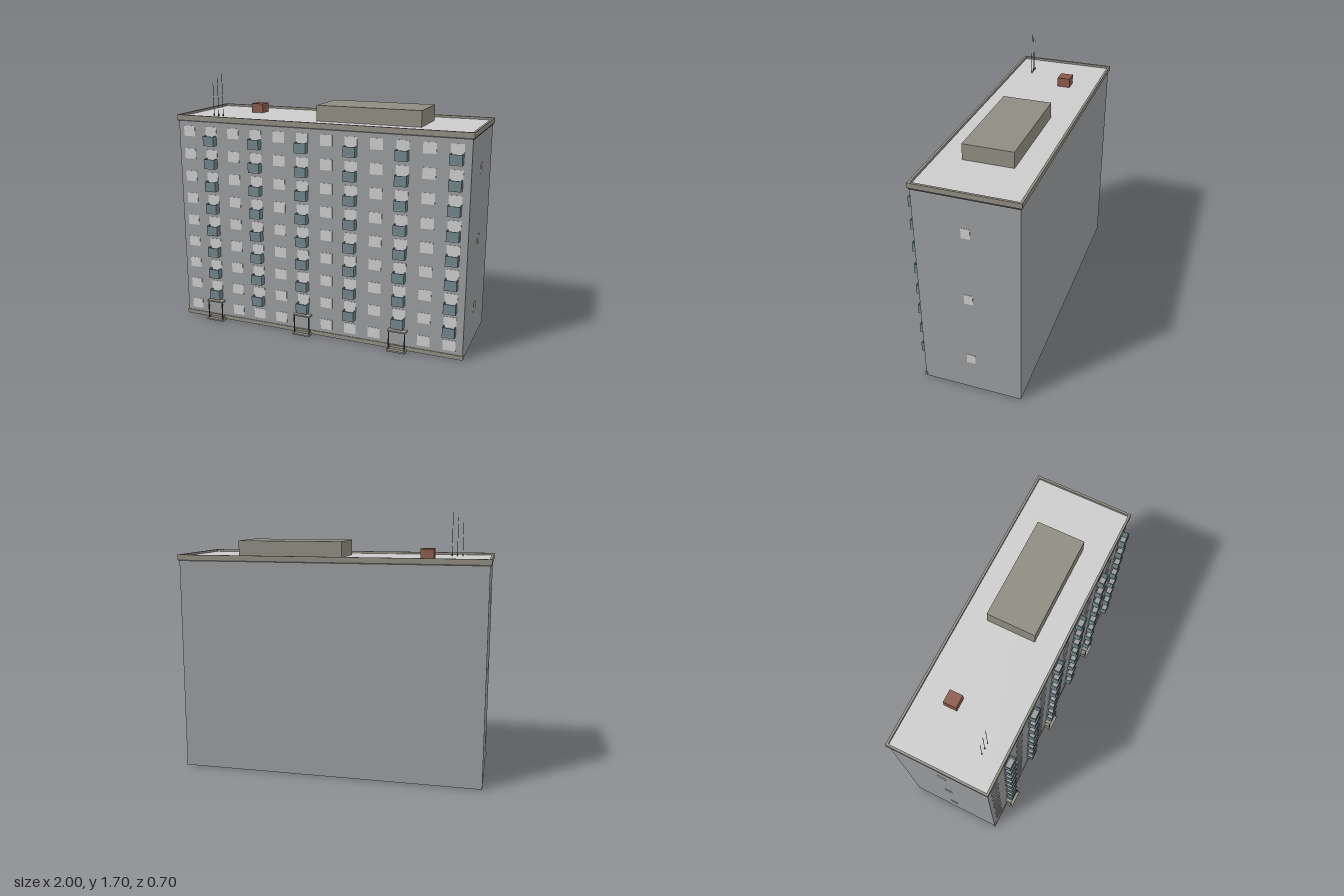
import * as THREE from 'three';

const paint = (color) => new THREE.MeshStandardMaterial({ color });

export function createModel() {
  const model = new THREE.Group();
  const grey = paint(0xcccccc);
  const wall = paint(0x9a9b9d);
  const trim = paint(0x8f8c82);
  const dark = paint(0x4a4a4a);
  const slate = paint(0x70858a);
  const brick = paint(0x8a5a4a);

  // Box given by its limits on each axis
  function box(name, parent, material, [x0, x1], [y0, y1], [z0, z1]) {
    const mesh = new THREE.Mesh(new THREE.BoxGeometry(x1 - x0, y1 - y0, z1 - z0), material);
    mesh.position.set((x0 + x1) / 2, (y0 + y1) / 2, (z0 + z1) / 2);
    mesh.name = name;
    parent.add(mesh);
    return mesh;
  }
  function group(name, parent = model) {
    const g = new THREE.Group();
    g.name = name;
    parent.add(g);
    return g;
  }

  const front = 0.297, back = -0.34, half = 0.99;
  const columnX = (i) => -0.912 + i * 0.165;
  const floorStep = 0.1545;

  // Main block and plinth
  box('walls', model, wall, [-half, half], [0, 1.4], [back, front]);
  box('plinth', model, trim, [-0.995, 0.995], [0.008, 0.03], [front - 0.01, front + 0.005]);

  // Roof: dark shadow band, slab and raised rim
  const roof = group('roof');
  box('corniceBand', roof, dark, [-0.995, 0.995], [1.388, 1.4], [-0.345, 0.302]);
  box('roofSlab', roof, grey, [-0.985, 0.985], [1.4, 1.415], [-0.335, 0.292]);
  for (const [z0, z1] of [[-0.35, -0.335], [0.292, 0.307]])
    box('parapetLong', roof, trim, [-1, 1], [1.398, 1.43], [z0, z1]);
  for (const [x0, x1] of [[-1, -0.985], [0.985, 1]])
    box('parapetShort', roof, trim, [x0, x1], [1.398, 1.43], [-0.335, 0.292]);

  // Rooftop machine room, chimney and aerials
  box('machineRoom', roof, trim, [-0.055, 0.64], [1.41, 1.517], [-0.183, 0.135]);
  box('chimney', roof, brick, [-0.64, -0.555], [1.41, 1.477], [-0.165, -0.08]);
  [[-0.797, 1.635], [-0.762, 1.668], [-0.727, 1.7]].forEach(([x, top]) => {
    const aerial = group('aerial', roof);
    const mast = new THREE.Mesh(new THREE.CylinderGeometry(0.0015, 0.0015, top - 1.41, 6), dark);
    mast.position.set(x, (top + 1.41) / 2, 0.165);
    mast.name = 'mast';
    const foot = new THREE.Mesh(new THREE.CylinderGeometry(0.004, 0.004, 0.015, 6), dark);
    foot.position.set(x, 1.422, 0.165);
    foot.name = 'mastFoot';
    aerial.add(mast, foot);
  });

  // Front windows: nine floors, twelve columns, none over the entrances at ground level
  const windows = group('windows');
  const isEntrance = (i) => i % 4 === 1;
  for (let floor = 0; floor < 9; floor++) {
    for (let i = 0; i < 12; i++) {
      if (floor === 0 && isEntrance(i)) continue;
      const x = columnX(i), y = 0.088 + floor * floorStep;
      box('frontWindow', windows, grey, [x - 0.041, x + 0.041], [y - 0.035, y + 0.035], [front - 0.01, front + 0.002]);
    }
  }
  // Side windows on both end walls
  for (const side of [-1, 1]) {
    for (const y of [0.238, 0.702, 1.165]) {
      const pane = box('sideWindow', windows, grey, [-0.006, 0.006], [y - 0.033, y + 0.033], [-0.047, 0.008]);
      pane.position.x = side * (half - 0.004);
    }
  }

  // Balconies: floor with three thin parapet panels, open at the top
  const balconies = group('balconies');
  function balcony(x, y) {
    const b = group('balcony', balconies);
    const w = 0.039, t = 0.005, z1 = 0.34, h = [y - 0.032, y + 0.032];
    box('balconyFloor', b, wall, [x - w, x + w], [y - 0.033, y - 0.026], [front, z1]);
    box('balconyFront', b, slate, [x - w, x + w], h, [z1 - t, z1]);
    box('balconySide', b, slate, [x - w, x - w + t], h, [front, z1 - t]);
    box('balconySide', b, slate, [x + w - t, x + w], h, [front, z1 - t]);
  }
  for (let i = 1; i < 12; i += 2)
    for (let floor = 0; floor < 8; floor++) balcony(columnX(i), 0.188 + floor * floorStep);

  // Entrances: two steps, two posts and a flat canopy
  for (let i = 1; i < 12; i += 4) {
    const e = group('entrance');
    const x = columnX(i);
    box('lowerStep', e, trim, [x - 0.062, x + 0.062], [0, 0.01], [front, 0.35]);
    box('upperStep', e, trim, [x - 0.05, x + 0.05], [0.01, 0.025], [front, 0.325]);
    for (const s of [-1, 1])
      box('canopyPost', e, dark, [x + s * 0.053 - 0.003, x + s * 0.053 + 0.003], [0.008, 0.134], [0.332, 0.338]);
    box('canopy', e, trim, [x - 0.06, x + 0.06], [0.133, 0.142], [front, 0.341]);
  }

  return model;
}
